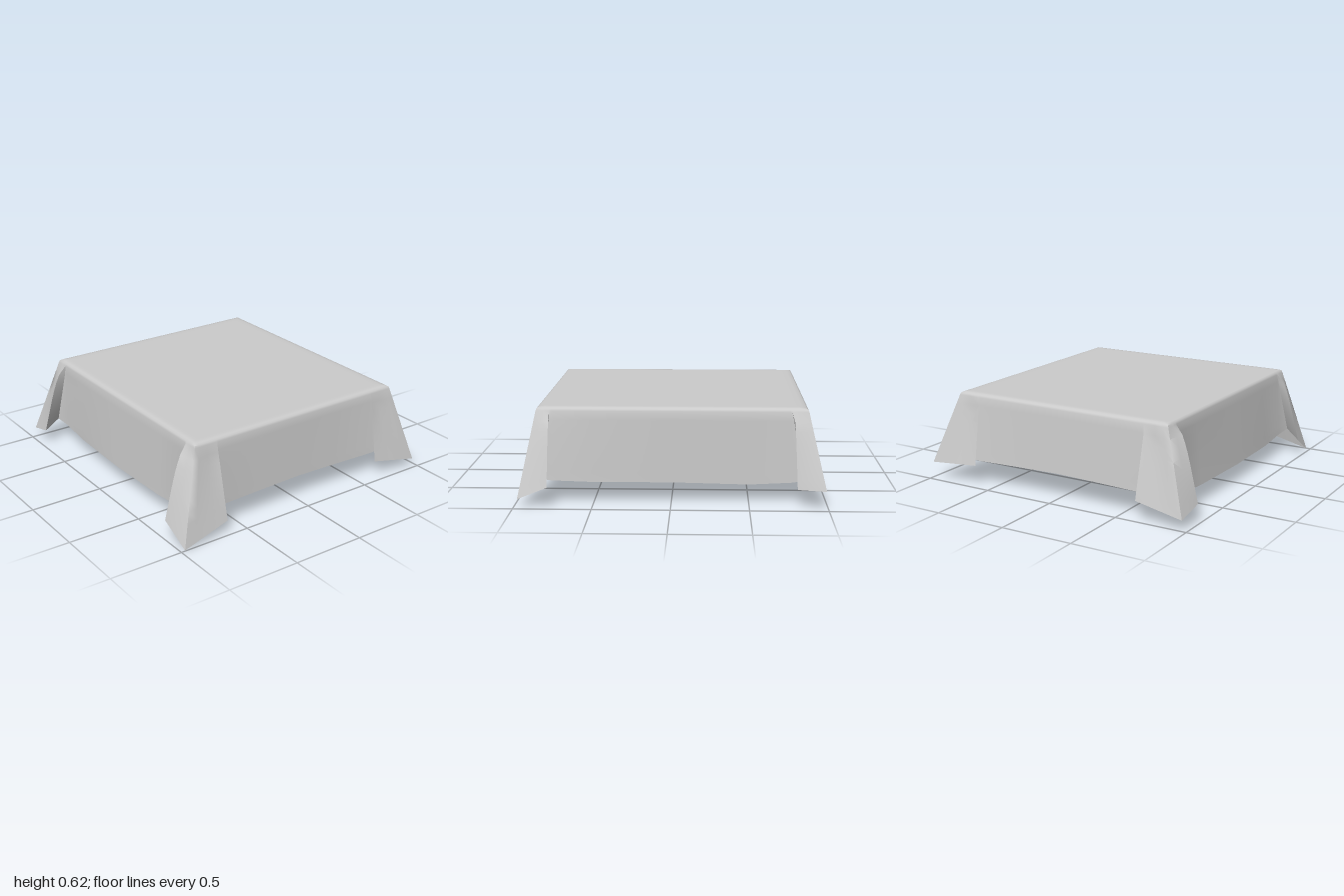
import * as THREE from 'three';
import { toCreasedNormals } from 'three/addons/utils/BufferGeometryUtils.js';

const HALF_X = 0.805, BACK = -0.878, FRONT = 0.868, EDGE_Y = 0.595;

// A hem point, the point on the table edge it hangs from, and how far the fall bows outward.
const strand = (hem, edge, bow = 0) => ({ hem, edge, bow });
const mix = (a, b, t) => a.map((v, i) => v + (b[i] - v) * t);

// Folded corner: drape end, hidden under-fold, flap edge, ridge, and the same again on the side.
function corner(sx, sz, { drapeF, edgeF, tip, edgeS, drapeS }) {
  const zTop = sz > 0 ? FRONT : BACK, xTop = sx * HALF_X;
  const onEnd = (x) => [sx * x, zTop], onSide = (z) => [xTop, sz * z];
  const underF = [drapeF[0] + sx * 0.14, drapeF[1] + 0.02, drapeF[2] + sz * 0.02];
  const underS = [drapeS[0] + sx * 0.02, drapeS[1] + 0.02, drapeS[2] + sz * 0.1];
  const strands = [
    strand(drapeF, onEnd(0.62)),
    strand(underF, onEnd(0.63)),
    strand(edgeF, onEnd(0.64)),
    strand(mix(edgeF, tip, 0.4), onEnd(0.71), -0.13),
    strand(mix(edgeF, tip, 0.75), onEnd(0.77), 0.02),
    strand(tip, [xTop, zTop]),
    strand(mix(tip, edgeS, 0.5), onSide(0.82), 0.08),
    strand(edgeS, onSide(0.78), 0.18),
    strand(underS, onSide(0.77)),
    strand(drapeS, onSide(0.76)),
  ];
  return sx * sz > 0 ? strands : strands.reverse();
}

// Straight hanging panels between the corners.
const side = (sx, pts) => pts.map((p) => strand(p, [sx * HALF_X, p[2]]));
const end = (sz, pts) => pts.map((p) => strand(p, [p[0], sz > 0 ? FRONT : BACK]));

function clothGeometry() {
  const ring = [
    ...corner(1, 1, {
      drapeF: [0.62, 0.165, 0.9], edgeF: [0.63, 0.12, 0.95], tip: [0.97, 0.055, 0.975],
      edgeS: [0.965, 0.13, 0.785], drapeS: [0.855, 0.15, 0.77],
    }),
    ...side(1, [[0.82, 0.132, 0.5], [0.805, 0.13, 0], [0.808, 0.12, -0.5]]),
    ...corner(1, -1, {
      drapeF: [0.62, 0.165, -0.92], edgeF: [0.63, 0.14, -0.96], tip: [0.975, 0.12, -0.985],
      edgeS: [0.93, 0.12, -0.805], drapeS: [0.812, 0.135, -0.77],
    }),
    ...end(-1, [[0.3, 0.172, -0.913], [0, 0.176, -0.908], [-0.3, 0.172, -0.913]]),
    ...corner(-1, -1, {
      drapeF: [-0.62, 0.165, -0.92], edgeF: [-0.635, 0.13, -0.985], tip: [-0.97, 0.07, -1],
      edgeS: [-0.98, 0.12, -0.81], drapeS: [-0.82, 0.135, -0.775],
    }),
    ...side(-1, [[-0.845, 0.13, -0.5], [-0.86, 0.13, 0], [-0.85, 0.132, 0.5]]),
    ...corner(-1, 1, {
      drapeF: [-0.62, 0.165, 0.9], edgeF: [-0.635, 0.09, 0.975], tip: [-0.97, 0, 0.995],
      edgeS: [-0.98, 0.12, 0.79], drapeS: [-0.84, 0.15, 0.77],
    }),
    ...end(1, [[-0.3, 0.172, 0.895], [0, 0.176, 0.89], [0.3, 0.172, 0.895]]),
  ];
  const n = ring.length, pos = [], index = [];

  // Rounded rim of the top: [inset, height].
  const rim = [[0.075, 0.62], [0.045, 0.62], [0.018, 0.617], [0.005, 0.609], [0, EDGE_Y]];
  for (const [inset, y] of rim) {
    for (const { edge } of ring) {
      pos.push(
        THREE.MathUtils.clamp(edge[0], inset - HALF_X, HALF_X - inset), y,
        THREE.MathUtils.clamp(edge[1], BACK + inset, FRONT - inset));
    }
  }

  // Falling cloth down to the hem.
  const fall = 8;
  for (let r = 1; r <= fall; r++) {
    const t = r / fall;
    for (const { hem, edge, bow } of ring) {
      const out = t + bow * Math.sin(Math.PI * Math.sqrt(t));
      pos.push(
        edge[0] + (hem[0] - edge[0]) * out,
        EDGE_Y + (hem[1] - EDGE_Y) * t,
        edge[1] + (hem[2] - edge[1]) * out);
    }
  }
  const rows = rim.length + fall;
  for (let r = 0; r < rows - 1; r++) {
    for (let i = 0; i < n; i++) {
      const j = (i + 1) % n;
      const a = r * n + i, b = r * n + j, c = a + n, d = b + n;
      index.push(a, c, d, a, d, b);
    }
  }

  // Flat top.
  const centre = pos.length / 3;
  pos.push(0, 0.62, 0);
  for (let i = 0; i < n; i++) index.push(centre, i, (i + 1) % n);

  const geometry = new THREE.BufferGeometry();
  geometry.setAttribute('position', new THREE.Float32BufferAttribute(pos, 3));
  geometry.setIndex(index);
  return toCreasedNormals(geometry, 1.2);
}

export function createModel() {
  const group = new THREE.Group();
  group.name = 'tablecloth';
  const cloth = new THREE.Mesh(
    clothGeometry(),
    new THREE.MeshStandardMaterial({ color: 0xcccccc, side: THREE.DoubleSide }));
  cloth.name = 'drapedCloth';
  group.add(cloth);
  return group;
}
